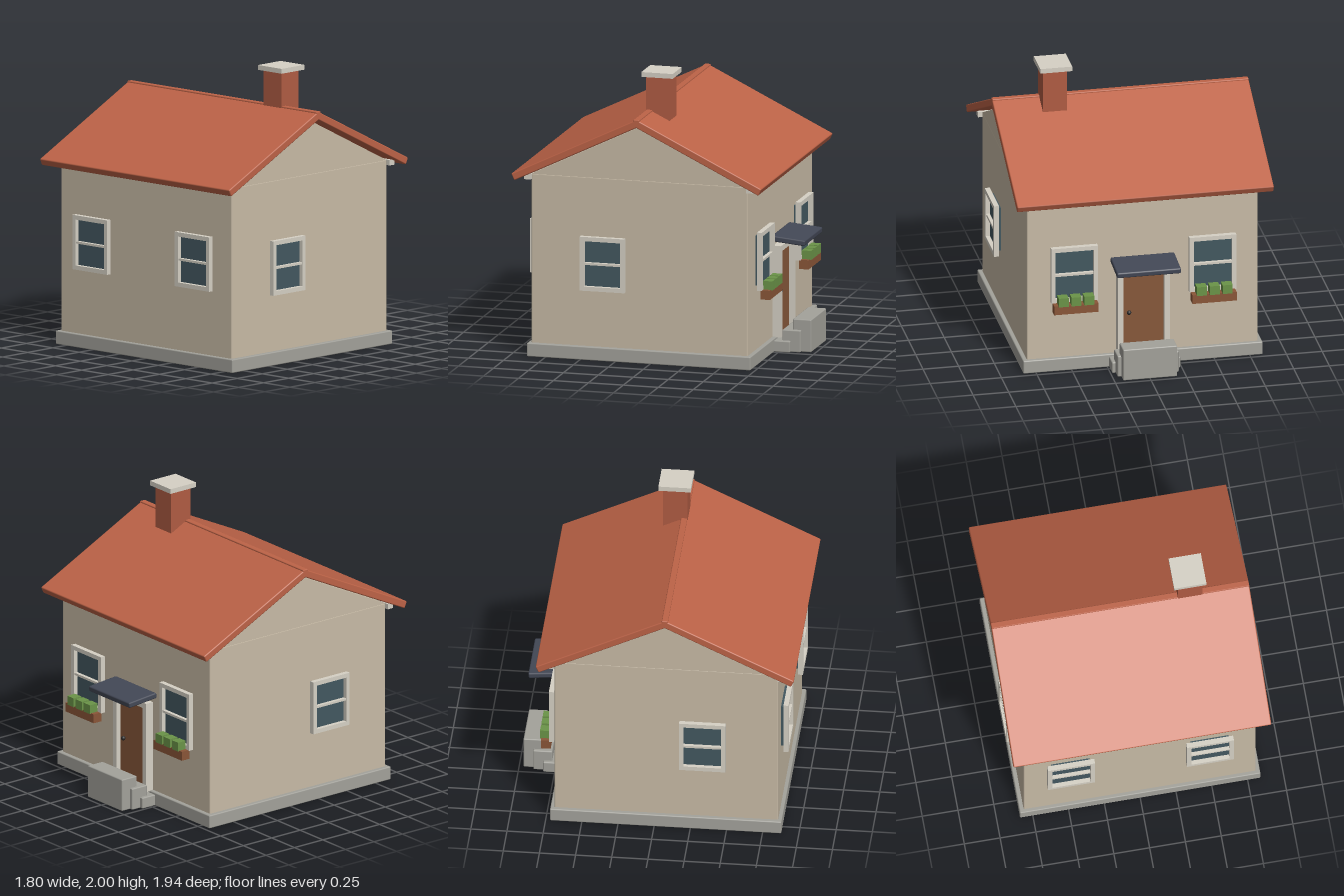
import * as THREE from 'three';
import { RoundedBoxGeometry } from 'three/addons/geometries/RoundedBoxGeometry.js';

const mat = (color) => new THREE.MeshStandardMaterial({ color });
const M = {
  wall: mat(0xc8bba6), stone: mat(0xa3a29b), roof: mat(0xbd6347), brick: mat(0xb05c43),
  trim: mat(0xd6d1c5), glass: mat(0x435860), door: mat(0x87583a), planter: mat(0x8a5638),
  plant: mat(0x6b9448), canopy: mat(0x434856), knob: mat(0x2e2b2a),
};
const MID_Z = 0.08; // the house body sits slightly forward of the centre

// Box from its min/max extents; bevel > 0 softens the edges
function box(parent, name, material, [x0, x1], [y0, y1], [z0, z1], bevel = 0) {
  const size = [x1 - x0, y1 - y0, z1 - z0];
  const geo = bevel ? new RoundedBoxGeometry(...size, 1, bevel) : new THREE.BoxGeometry(...size);
  const mesh = new THREE.Mesh(geo, material);
  mesh.name = name;
  mesh.position.set((x0 + x1) / 2, (y0 + y1) / 2, (z0 + z1) / 2);
  parent.add(mesh);
  return mesh;
}

// Rectangle outline, used for frames
function rect(PathType, w, h) {
  return new PathType([[-w, -h], [w, -h], [w, h], [-w, h]].map(([x, y]) => new THREE.Vector2(x / 2, y / 2)));
}

// Window facing +z with its back on z = 0
function makeWindow(name, w, h) {
  const g = new THREE.Group();
  g.name = name;
  const iw = w - 0.06, ih = h - 0.06;
  const shape = rect(THREE.Shape, w, h);
  shape.holes.push(rect(THREE.Path, iw, ih));
  const frame = new THREE.Mesh(new THREE.ExtrudeGeometry(shape, { depth: 0.035, bevelEnabled: false }), M.trim);
  frame.name = 'windowFrame';
  frame.position.z = 0.02;
  g.add(frame);
  box(g, 'windowGlass', M.glass, [-iw / 2, iw / 2], [-ih / 2, ih / 2], [-0.01, 0.025]);
  box(g, 'windowBar', M.trim, [-iw / 2, iw / 2], [-0.008, 0.008], [0.02, 0.05]);
  return g;
}

export function createModel() {
  const house = new THREE.Group();
  house.name = 'house';

  // Foundation and walls
  box(house, 'foundation', M.stone, [-0.84, 0.84], [0, 0.095], [-0.72, 0.88], 0.008);
  box(house, 'walls', M.wall, [-0.81, 0.81], [0.08, 1.287], [-0.692, 0.855], 0.008);

  // Gable prism running along x
  const gableShape = new THREE.Shape([
    new THREE.Vector2(-0.773, 0), new THREE.Vector2(0.773, 0), new THREE.Vector2(0, 0.378),
  ]);
  const gable = new THREE.Mesh(new THREE.ExtrudeGeometry(gableShape, { depth: 1.62, bevelEnabled: false }), M.wall);
  gable.name = 'gable';
  gable.rotation.y = Math.PI / 2;
  gable.position.set(-0.81, 1.284, MID_Z);
  house.add(gable);

  // Two roof slopes meeting at the ridge, with a gutter under each eave
  const run = 0.895, drop = 0.435, thick = 0.052;
  const slopeLength = Math.hypot(run, drop), pitch = Math.atan2(drop, run);
  for (const s of [1, -1]) {
    const slope = new THREE.Group();
    slope.name = s > 0 ? 'frontRoof' : 'backRoof';
    box(slope, 'roofSlab', M.roof, [-0.9, 0.9], [-thick, 0], s > 0 ? [0, slopeLength] : [-slopeLength, 0], 0.008);
    slope.position.set(0, 1.732, MID_Z);
    slope.rotation.x = s * pitch;
    house.add(slope);
    const a = MID_Z + s * 0.77, b = MID_Z + s * 0.817;
    box(house, 'gutter', M.trim, [-0.84, 0.84], [1.25, 1.288], [Math.min(a, b), Math.max(a, b)]);
  }
  box(house, 'ridgeCap', M.roof, [-0.9, 0.9], [1.69, 1.732], [MID_Z - 0.022, MID_Z + 0.022], 0.006);

  // Chimney
  box(house, 'chimney', M.brick, [0.4, 0.57], [1.55, 1.97], [-0.065, 0.105]);
  box(house, 'chimneyCap', M.trim, [0.37, 0.595], [1.966, 2], [-0.095, 0.13]);

  // Windows on all four walls, with planters under the door-side pair
  for (const s of [1, -1]) {
    const front = makeWindow('frontWindow', 0.328, 0.38);
    front.position.set(s * 0.485, 0.74, 0.855);
    const side = makeWindow('sideWindow', 0.32, 0.38);
    side.position.set(s * 0.81, 0.685, 0.335);
    side.rotation.y = s * Math.PI / 2;
    const back = makeWindow('backWindow', 0.328, 0.41);
    back.position.set(s * 0.485, 0.727, -0.692);
    back.rotation.y = Math.PI;
    house.add(front, side, back);

    const planter = new THREE.Group();
    planter.name = 'planter';
    planter.position.x = s * 0.485;
    box(planter, 'planterBox', M.planter, [-0.155, 0.155], [0.46, 0.525], [-0.803, -0.735]);
    for (const x of [-0.09, 0, 0.09]) {
      box(planter, 'plant', M.plant, [x - 0.035, x + 0.035], [0.52, 0.585], [-0.812, -0.745]);
    }
    house.add(planter);
  }

  // Door with posts, lintel and knob
  box(house, 'door', M.door, [-0.145, 0.145], [0.09, 0.7], [-0.717, -0.68]);
  for (const s of [1, -1]) {
    box(house, 'doorPost', M.trim, [s * 0.163 - 0.02, s * 0.163 + 0.02], [0.09, 0.735], [-0.752, -0.69]);
  }
  box(house, 'doorLintel', M.trim, [-0.183, 0.183], [0.695, 0.735], [-0.752, -0.69]);
  const knob = new THREE.Mesh(new THREE.SphereGeometry(0.016, 12, 8), M.knob);
  knob.name = 'doorKnob';
  knob.position.set(0.1, 0.4, -0.727);
  house.add(knob);

  // Canopy tilting down away from the wall
  const canopy = box(house, 'canopy', M.canopy, [-0.225, 0.225], [0.764, 0.804], [-0.933, -0.69], 0.01);
  canopy.rotation.x = -0.09;

  // Blocks in front of the door, rising outwards
  [[0.24, 0.08, -0.83, -0.71], [0.215, 0.155, -0.9, -0.768], [0.19, 0.23, -0.97, -0.837]].forEach(([w, h, z0, z1]) =>
    box(house, 'step', M.stone, [-w, w], [0, h], [z0, z1], 0.008));

  return house;
}
